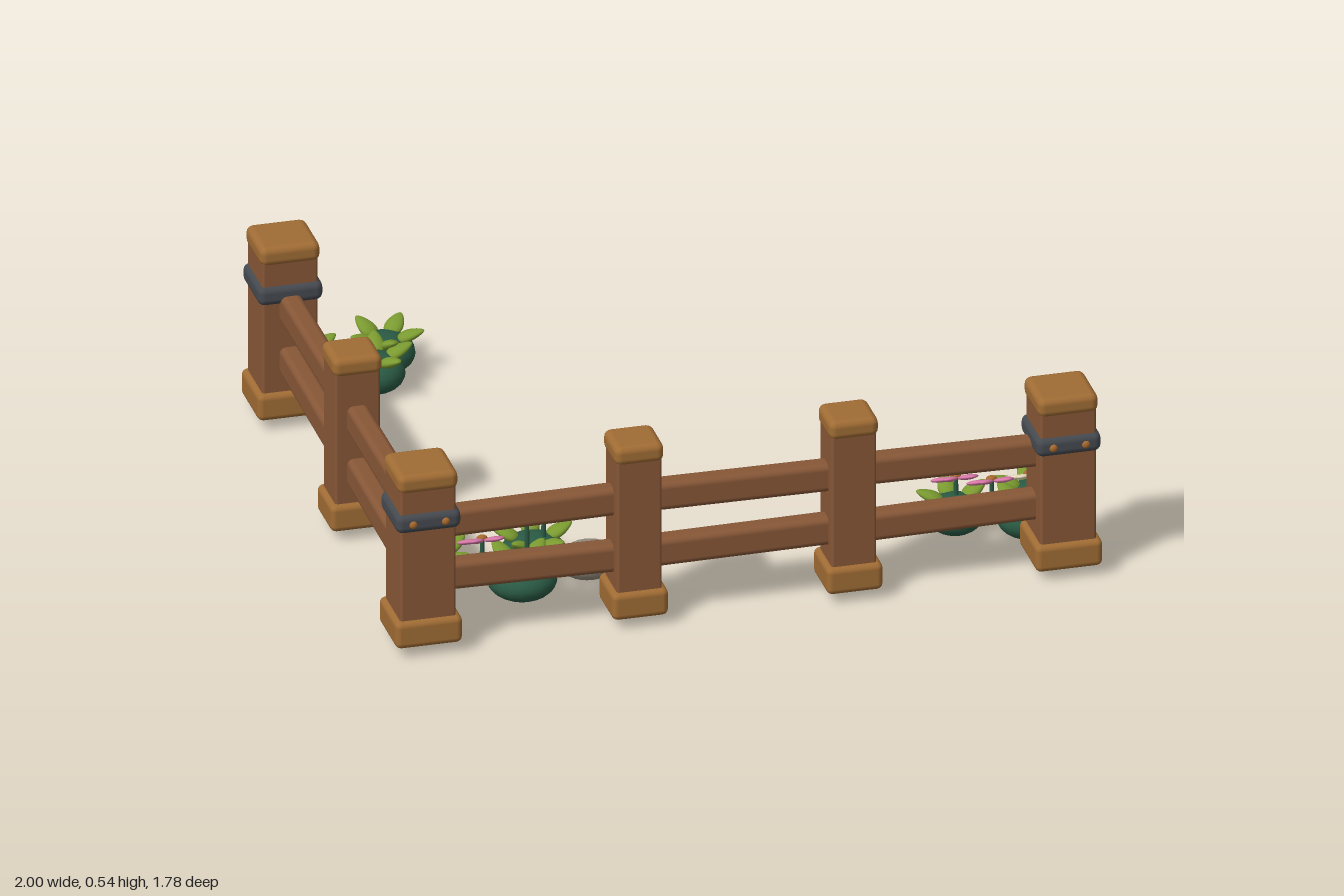
import * as THREE from 'three';
import { RoundedBoxGeometry } from 'three/addons/geometries/RoundedBoxGeometry.js';

const mat = (name, color) => {
  const m = new THREE.MeshStandardMaterial({ color });
  m.name = name;
  return m;
};

export function createModel() {
  const M = {
    wood: mat('brown wood', 0x875737),
    trim: mat('golden wood', 0xa06c34),
    iron: mat('dark iron', 0x454a50),
    rivet: mat('copper', 0xa8692f),
    bush: mat('deep green', 0x2a5a44),
    leaf: mat('leaf green', 0x7a9a30),
    pink: mat('pink petal', 0xd878a8),
    cream: mat('cream petal', 0xe6dabb),
    stone: mat('grey stone', 0x948c7d),
  };
  const root = new THREE.Group();
  root.name = 'cornerFence';

  const add = (parent, name, geo, material, x = 0, y = 0, z = 0) => {
    const m = new THREE.Mesh(geo, material);
    m.name = name;
    m.position.set(x, y, z);
    parent.add(m);
    return m;
  };
  const group = (parent, name, x = 0, y = 0, z = 0) => {
    const g = new THREE.Group();
    g.name = name;
    g.position.set(x, y, z);
    parent.add(g);
    return g;
  };
  const block = (w, y0, y1, r) => new RoundedBoxGeometry(w, y1 - y0, w, 2, r);
  const ball = new THREE.SphereGeometry(1, 20, 14);

  // Posts: shaft, foot and cap; the large ones carry an iron band
  function post(x, z, large, rivets) {
    const g = group(root, large ? 'cornerPost' : 'middlePost', x, 0, z);
    const w = large ? 0.155 : 0.125;
    add(g, 'shaft', block(w, 0.05, 0.52, 0.008), M.wood, 0, 0.285);
    add(g, 'foot', block(w + 0.031, 0.033, 0.112, 0.017), M.trim, 0, 0.0725);
    add(g, 'cap', block(w + 0.012, 0.488, 0.544, 0.02), M.trim, 0, 0.516);
    if (!large) return;
    add(g, 'band', block(0.18, 0.374, 0.43, 0.02), M.iron, 0, 0.402);
    if (rivets) for (const s of [-1, 1]) {
      add(g, 'rivet', ball, M.rivet, s * 0.045, 0.402, 0.09).scale.set(0.011, 0.011, 0.007);
    }
  }
  post(-0.905, 0.785, true, true);
  post(0.87, 0.785, true, true);
  post(-0.905, -0.635, true, false);
  post(-0.315, 0.785, false);
  post(0.28, 0.785, false);
  post(-0.905, 0.075, false);

  // Rails: two bars per bay, each very slightly tilted
  function rails(x0, z0, x1, z1, tilt) {
    const length = Math.hypot(x1 - x0, z1 - z0);
    const bay = group(root, 'railBay', (x0 + x1) / 2, 0, (z0 + z1) / 2);
    bay.rotation.y = -Math.atan2(z1 - z0, x1 - x0);
    [[0.361, 1], [0.198, -1]].forEach(([y, s]) => {
      const bar = new RoundedBoxGeometry(length, 0.083, 0.06, 2, 0.018);
      add(bay, 'rail', bar, M.wood, 0, y).rotation.z = s * tilt;
    });
  }
  rails(-0.905, 0.785, -0.315, 0.785, 0.012);
  rails(-0.315, 0.785, 0.28, 0.785, -0.008);
  rails(0.28, 0.785, 0.87, 0.785, -0.012);
  rails(-0.905, 0.785, -0.905, 0.075, -0.01);
  rails(-0.905, 0.075, -0.905, -0.635, -0.01);

  // Leaf: an ellipsoid drawn to a narrower outer tip
  const leafGeo = ball.clone();
  const p = leafGeo.attributes.position;
  for (let i = 0; i < p.count; i++) {
    const k = 1 - 0.35 * p.getX(i);
    p.setXYZ(i, p.getX(i), p.getY(i) * k, p.getZ(i) * k);
  }
  leafGeo.computeVertexNormals();

  // Bush: squashed dome with a ring of upturned leaves
  function bush(x, z, r, turn) {
    const g = group(root, 'bush', x, 0, z);
    add(g, 'mound', ball, M.bush, 0, 0.063).scale.set(r, 0.055, r);
    for (let i = 0; i < 5; i++) {
      const spoke = group(g, 'leafSpoke');
      spoke.rotation.y = turn + (i * Math.PI * 2) / 5;
      const leaf = add(spoke, 'leaf', leafGeo, M.leaf, r * 0.84, 0.117);
      leaf.scale.set(0.04, 0.014, 0.025);
      leaf.rotation.z = 0.4 + 0.12 * (i % 2);
    }
  }
  [
    [-0.81, -0.785, 0.08, 0.3], [-0.575, -0.81, 0.082, 0.9], [-0.63, -0.7, 0.08, 0.1],
    [-0.79, 0.49, 0.09, 0.5], [-0.505, 0.46, 0.092, 0.2], [-0.575, 0.6, 0.095, 0.8],
    [0.645, 0.525, 0.08, 0.4], [0.865, 0.505, 0.08, 0.3], [0.825, 0.595, 0.08, 0.9],
  ].forEach((b) => bush(...b));

  // Flowers: five petals round a copper centre, leaning to the back
  function flower(x, z, y, material) {
    const g = group(root, 'flower', x, y, z);
    add(g, 'stem', new THREE.CylinderGeometry(0.006, 0.008, 0.11, 8), M.bush, 0, -0.055);
    const head = group(g, 'flowerHead');
    head.rotation.x = -0.45;
    add(head, 'flowerCentre', ball, M.rivet, 0, 0.006).scale.set(0.015, 0.01, 0.015);
    for (let i = 0; i < 5; i++) {
      const a = 0.3 + (i * Math.PI * 2) / 5;
      const petal = add(head, 'petal', ball, material, Math.cos(a) * 0.039, 0, -Math.sin(a) * 0.039);
      petal.scale.set(0.03, 0.007, 0.017);
      petal.rotation.y = a;
    }
  }
  flower(-0.775, 0.49, 0.165, M.pink);
  flower(-0.68, 0.58, 0.18, M.pink);
  flower(-0.48, 0.47, 0.17, M.cream);
  flower(-0.545, 0.54, 0.195, M.cream);
  flower(0.65, 0.52, 0.165, M.pink);
  flower(0.73, 0.59, 0.18, M.pink);
  flower(0.84, 0.565, 0.17, M.cream);

  // Stones
  add(root, 'stone', ball, M.stone, -0.37, 0.057, 0.525).scale.set(0.085, 0.052, 0.07);
  add(root, 'stone', ball, M.stone, 0.918, 0.052, 0.6).scale.set(0.08, 0.042, 0.057);
  return root;
}
